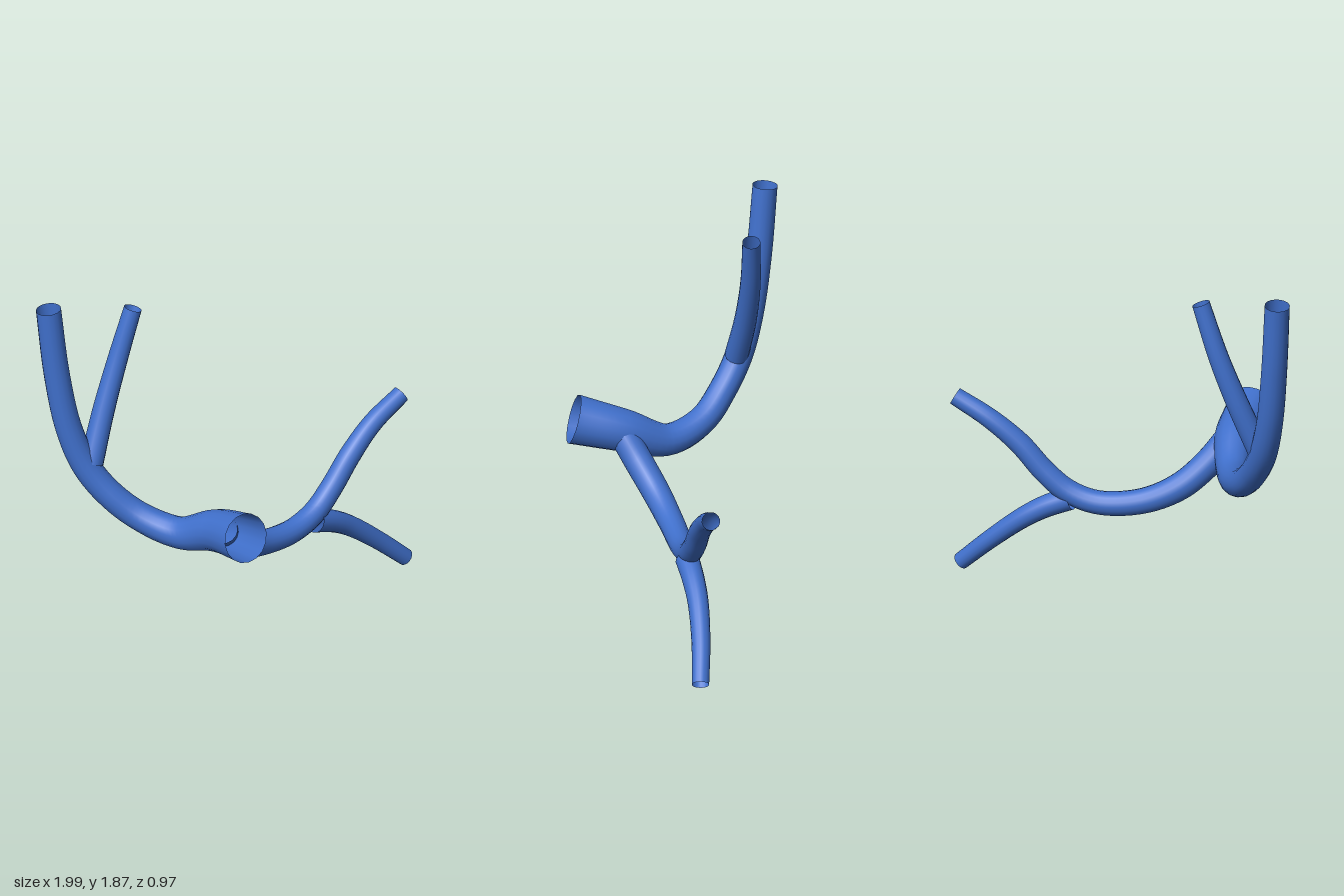
import * as THREE from 'three';

const SIDES = 16;

// Open tapering tube; each point is [x, y, z, radius].
function taperedTube(name, points, material, segments) {
  const curve = new THREE.CatmullRomCurve3(points.map(([x, y, z]) => new THREE.Vector3(x, y, z)));
  const geometry = new THREE.TubeGeometry(curve, segments, 1, SIDES, false);
  const pos = geometry.attributes.position;
  const normal = geometry.attributes.normal;
  const last = points.length - 1;
  for (let i = 0; i <= segments; i++) {
    const u = i / segments;
    const centre = curve.getPointAt(u);
    // radius interpolated between the path points
    const t = curve.getUtoTmapping(u) * last;
    const k = Math.min(Math.floor(t), last - 1);
    const r = THREE.MathUtils.lerp(points[k][3], points[k + 1][3], t - k);
    for (let j = 0; j <= SIDES; j++) {
      const v = i * (SIDES + 1) + j;
      pos.setXYZ(v,
        centre.x + normal.getX(v) * r,
        centre.y + normal.getY(v) * r,
        centre.z + normal.getZ(v) * r);
    }
  }
  const mesh = new THREE.Mesh(geometry, material);
  mesh.name = name;
  return mesh;
}

export function createModel() {
  const group = new THREE.Group();
  group.name = 'branchingVessel';
  const blue = new THREE.MeshStandardMaterial({ color: 0x4070cc, side: THREE.DoubleSide });
  blue.name = 'vesselBlue';

  // wide trunk that bends and rises into the tall branch
  group.add(taperedTube('trunk', [
    [-0.22, 0.857, 0.44, 0.125],
    [-0.28, 0.785, 0.2, 0.107],
    [-0.4, 0.69, 0.0, 0.08],
    [-0.55, 0.735, -0.15, 0.072],
    [-0.68, 0.85, -0.235, 0.07],
    [-0.78, 1.0, -0.3, 0.07],
    [-0.85, 1.2, -0.345, 0.067],
    [-0.9, 1.5, -0.38, 0.065],
    [-0.935, 1.87, -0.405, 0.063],
  ], blue, 56));

  // thinner rising side branch
  group.add(taperedTube('upperSideBranch', [
    [-0.75, 1.01, -0.292, 0.06],
    [-0.665, 1.25, -0.35, 0.056],
    [-0.575, 1.5, -0.39, 0.051],
    [-0.482, 1.775, -0.41, 0.045],
  ], blue, 24));

  // long sweeping branch leaving the trunk near its mouth
  group.add(taperedTube('longBranch', [
    [-0.24, 0.775, 0.19, 0.072],
    [-0.18, 0.665, 0.105, 0.072],
    [-0.08, 0.55, 0.0, 0.07],
    [0.075, 0.47, -0.1, 0.064],
    [0.28, 0.445, -0.19, 0.06],
    [0.42, 0.49, -0.245, 0.059],
    [0.53, 0.585, -0.29, 0.057],
    [0.65, 0.725, -0.335, 0.055],
    [0.79, 0.845, -0.39, 0.05],
    [0.965, 0.945, -0.443, 0.045],
  ], blue, 56));

  // descending side branch
  group.add(taperedTube('lowerSideBranch', [
    [0.42, 0.45, -0.235, 0.06],
    [0.535, 0.395, -0.285, 0.056],
    [0.64, 0.325, -0.325, 0.052],
    [0.8, 0.19, -0.365, 0.047],
    [0.967, 0.036, -0.39, 0.043],
  ], blue, 24));

  return group;
}
